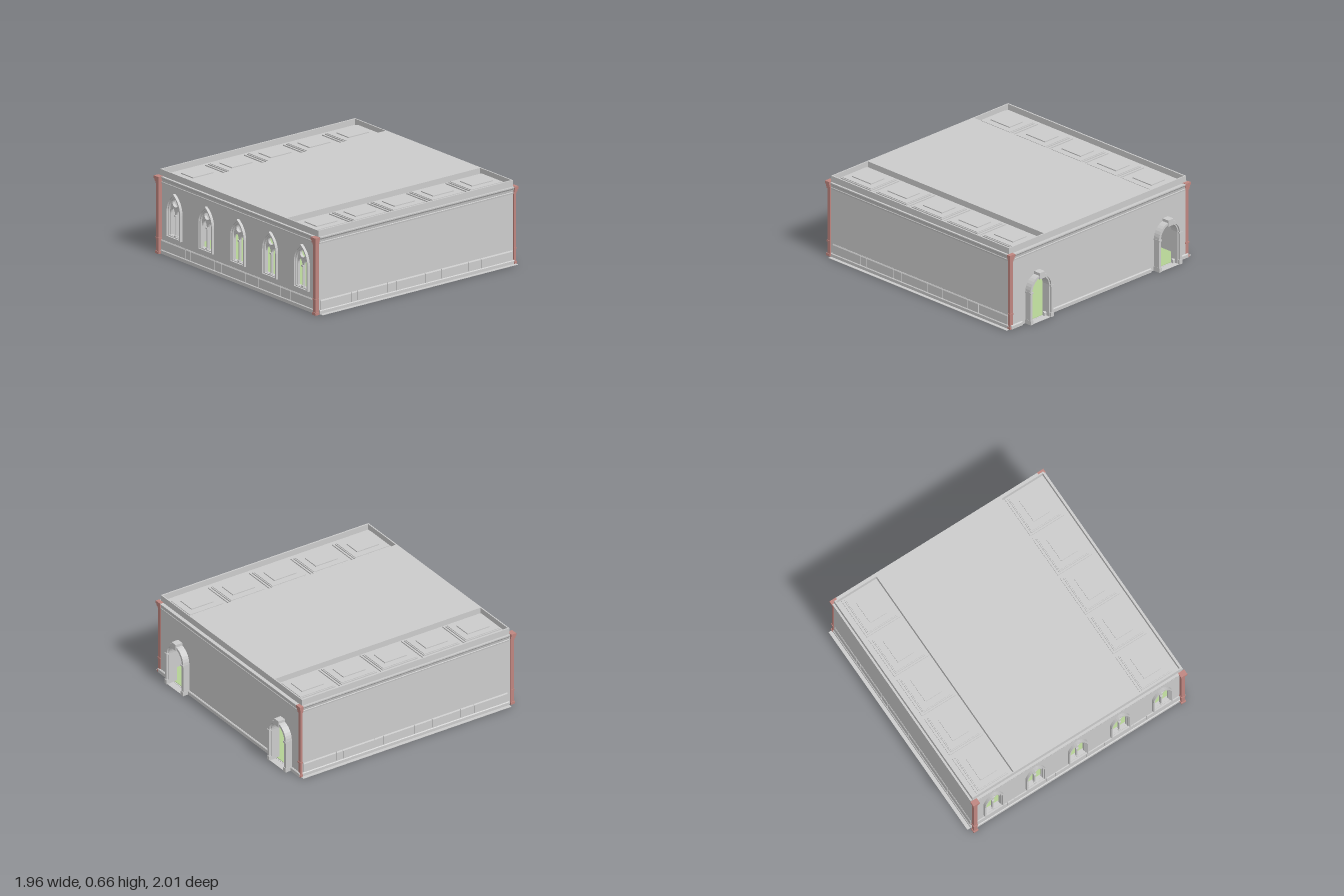
import * as THREE from 'three';

const mat = (color) => new THREE.MeshStandardMaterial({ color, flatShading: true, side: THREE.DoubleSide });
const stone = mat(0xcccccc), red = mat(0xbf8680), green = mat(0xb4d094);

export function createModel() {
  const model = new THREE.Group();

  function add(name, geometry, material = stone, parent = model) {
    const mesh = new THREE.Mesh(geometry, material);
    mesh.name = name;
    parent.add(mesh);
    return mesh;
  }
  // Box given by its minimum and maximum corners
  function box(name, x0, x1, y0, y1, z0, z1, material, parent) {
    const m = add(name, new THREE.BoxGeometry(x1 - x0, y1 - y0, z1 - z0), material, parent);
    m.position.set((x0 + x1) / 2, (y0 + y1) / 2, (z0 + z1) / 2);
    return m;
  }
  // Outline of an arched opening: round when rise equals half width, else pointed
  function arch(cx, w, y0, spring, rise, steps = 8) {
    const R = (w * w + rise * rise) / (2 * w), end = Math.atan2(rise, R - w), side = [];
    for (let i = 0; i <= steps; i++) {
      const a = (end * i) / steps;
      side.push([w - R + R * Math.cos(a), spring + R * Math.sin(a)]);
    }
    const left = side.slice(0, -1).reverse().map(([x, y]) => [-x, y]);
    return [[-w, y0], [w, y0], ...side, ...left].map(([x, y]) => new THREE.Vector2(cx + x, y));
  }
  const rect = (x0, x1, y0, y1) =>
    [[x0, y0], [x1, y0], [x1, y1], [x0, y1]].map(([x, y]) => new THREE.Vector2(x, y));
  // Plate with holes, from z0 to z1
  function plate(name, outline, holes, z0, z1, parent) {
    const shape = new THREE.Shape(outline);
    for (const h of holes) shape.holes.push(new THREE.Path(h));
    const m = add(name, new THREE.ExtrudeGeometry(shape, { depth: z1 - z0, bevelEnabled: false }), stone, parent);
    m.position.z = z0;
    return m;
  }

  // Floor and thin ground strips along the sides
  box('floor', -0.93, 0.93, 0, 0.008, -0.93, 0.955, green);
  for (const s of [-1, 1]) {
    const strip = box('groundStrip', -0.025, 0.025, 0, 0.003, -0.94, 0.95);
    strip.position.x = s * 0.955;
  }

  // Front wall with five pointed windows
  const windowX = [-0.757, -0.38, 0, 0.38, 0.757];
  plate('frontWall', rect(-0.94, 0.94, 0, 0.61),
    windowX.map((x) => arch(x, 0.075, 0.165, 0.36, 0.135)), 0.93, 0.963);
  for (const x of windowX) {
    const win = new THREE.Group();
    win.name = 'window';
    win.position.x = x;
    model.add(win);
    plate('windowSurround', arch(0, 0.086, 0.155, 0.36, 0.152), [arch(0, 0.075, 0.165, 0.36, 0.136)], 0.94, 0.986, win);
    plate('windowInnerFrame', arch(0, 0.076, 0.163, 0.36, 0.137), [arch(0, 0.067, 0.171, 0.36, 0.122)], 0.935, 0.973, win);
    const circle = new THREE.Path().absarc(0, 0.436, 0.031, 0, Math.PI * 2).getPoints(8);
    plate('tracery', arch(0, 0.069, 0.17, 0.36, 0.125),
      [circle, ...[-1, 1].map((s) => arch(s * 0.035, 0.028, 0.172, 0.335, 0.058))], 0.942, 0.958, win);
    add('traceryRing', new THREE.TorusGeometry(0.035, 0.005, 6, 16), stone, win).position.set(0, 0.436, 0.959);
    const mullion = add('mullion', new THREE.CylinderGeometry(0.006, 0.006, 0.17, 8), stone, win);
    mullion.position.set(0, 0.255, 0.958);
    for (const y of [0.175, 0.337])
      add('mullionCollar', new THREE.BoxGeometry(0.02, 0.012, 0.022), stone, win).position.set(0, y, 0.958);
  }

  // Back wall, open to the floor at its two doorways
  const doorX = [-0.705, 0.66];
  plate('backWall', rect(-0.94, 0.94, 0, 0.61),
    doorX.map((x) => arch(x, 0.092, 0.004, 0.262, 0.092)), -0.94, -0.91);
  for (const x of doorX) {
    const door = new THREE.Group();
    door.name = 'doorway';
    door.position.x = x;
    model.add(door);
    plate('doorSurround', arch(0, 0.121, 0, 0.26, 0.121), [arch(0, 0.1, 0.002, 0.262, 0.1)], -0.995, -0.93, door);
    plate('doorInnerFrame', arch(0, 0.101, 0, 0.262, 0.101), [arch(0, 0.09, 0.002, 0.262, 0.09)], -0.98, -0.91, door);
    box('keystone', -0.028, 0.028, 0.348, 0.4, -1, -0.935, stone, door);
    for (const s of [-1, 1]) {
      box('doorFoot', s * 0.108 - 0.015, s * 0.108 + 0.015, 0, 0.035, -1, -0.935, stone, door);
      box('doorImpost', s * 0.108 - 0.015, s * 0.108 + 0.015, 0.25, 0.264, -1, -0.935, stone, door);
    }
  }

  // Side walls
  for (const s of [-1, 1])
    box('sideWall', Math.min(s * 0.91, s * 0.94), Math.max(s * 0.91, s * 0.94), 0, 0.61, -0.93, 0.955);

  // Straight moulding: a profile of [outward, height] points swept along a wall
  function moulding(name, profile, length, angle, distance, offset = 0) {
    const shape = new THREE.Shape(profile.map(([o, y]) => new THREE.Vector2(o, y)));
    const g = new THREE.ExtrudeGeometry(shape, { depth: length, bevelEnabled: false });
    g.translate(distance, 0, offset - length / 2);
    g.rotateY(angle);
    add(name, g);
  }
  const cornice = [[-0.01, 0.555], [0.004, 0.555], [0.006, 0.567], [0.003, 0.571], [0.007, 0.59], [0.016, 0.603], [0.016, 0.612], [-0.01, 0.612]];
  const base = [[-0.01, 0], [0.012, 0], [0.012, 0.026], [0.006, 0.032], [-0.01, 0.032]];
  const block = [[-0.01, 0.03], [0.006, 0.03], [0.006, 0.1], [0.001, 0.11], [-0.01, 0.11]];
  const joints = [-0.93, -0.62, -0.5, -0.24, -0.08, 0.2, 0.28, 0.57, 0.63, 0.93];
  const walls = [
    { angle: -Math.PI / 2, distance: 0.963 }, { angle: Math.PI / 2, distance: 0.94 },
    { angle: 0, distance: 0.94 }, { angle: Math.PI, distance: 0.94 },
  ];
  walls.forEach(({ angle, distance }, i) => {
    const back = i === 1, shift = i === 2 ? 0.012 : i === 3 ? -0.012 : 0;
    moulding('cornice', cornice, 1.88, angle, distance, shift);
    if (back) {
      // The back plinth stops at the doorways
      for (const [a, b] of [[-0.94, -0.82], [-0.59, 0.545], [0.775, 0.94]]) {
        moulding('plinthBase', base, b - a, angle, distance, -(a + b) / 2);
      }
      return;
    }
    moulding('plinthBase', base, 1.88, angle, distance, shift);
    for (let j = 0; j + 1 < joints.length; j++) {
      const a = joints[j] + 0.003, b = joints[j + 1] - 0.003;
      moulding('plinthBlock', block, b - a, angle, distance, shift + (a + b) / 2);
    }
  });

  // Corner pilasters with flared caps and feet
  for (const sx of [-1, 1]) {
    for (const [z0, z1, grow] of [[0.962, 0.993, 1], [-0.944, -0.925, -1]]) {
      const corner = new THREE.Group();
      corner.name = 'cornerPilaster';
      model.add(corner);
      const part = (name, e, y0, y1) => {
        const xs = [sx * (0.918 - e), sx * (0.948 + e)].sort((a, b) => a - b);
        box(name, xs[0], xs[1], y0, y1, grow > 0 ? z0 : z0 - e, grow > 0 ? z1 + e : z1, red, corner);
      };
      part('pilasterShaft', 0, 0, 0.61);
      part('pilasterFoot', 0.006, 0, 0.02);
      part('pilasterBand', 0.004, 0.115, 0.128);
      part('capLower', 0.004, 0.555, 0.572);
      part('capMiddle', 0.008, 0.572, 0.592);
      part('capTop', 0.013, 0.592, 0.614);
    }
  }

  // Roof: slab, raised middle and thin parapet
  box('roofSlab', -0.935, 0.935, 0.595, 0.615, -0.92, 0.955);
  box('roofMiddle', -0.567, 0.56, 0.61, 0.662, -0.925, 0.96);
  for (const s of [-1, 1]) {
    const side = box('sideParapet', -0.006, 0.006, 0.605, 0.662, -0.925, 0.96);
    side.position.x = s * 0.934;
    box('backParapet', s < 0 ? -0.94 : 0.56, s < 0 ? -0.56 : 0.94, 0.605, 0.662, -0.925, -0.915);
    box('frontParapet', s < 0 ? -0.94 : 0.56, s < 0 ? -0.56 : 0.94, 0.605, 0.662, 0.95, 0.96);
    // Five stepped coffers down each side
    for (let i = 0; i < 5; i++) {
      const cx = s * 0.735, cz = -0.735 + i * 0.376;
      const step = (name, w, d, y0, y1) => box(name, cx - w / 2, cx + w / 2, y0, y1, cz - d / 2, cz + d / 2);
      step('cofferBase', 0.305, 0.35, 0.61, 0.624);
      step('cofferStep', 0.268, 0.322, 0.62, 0.633);
      step('cofferRim', 0.25, 0.304, 0.63, 0.638);
      step('cofferPanel', 0.145, 0.2, 0.635, 0.646);
    }
  }
  return model;
}
